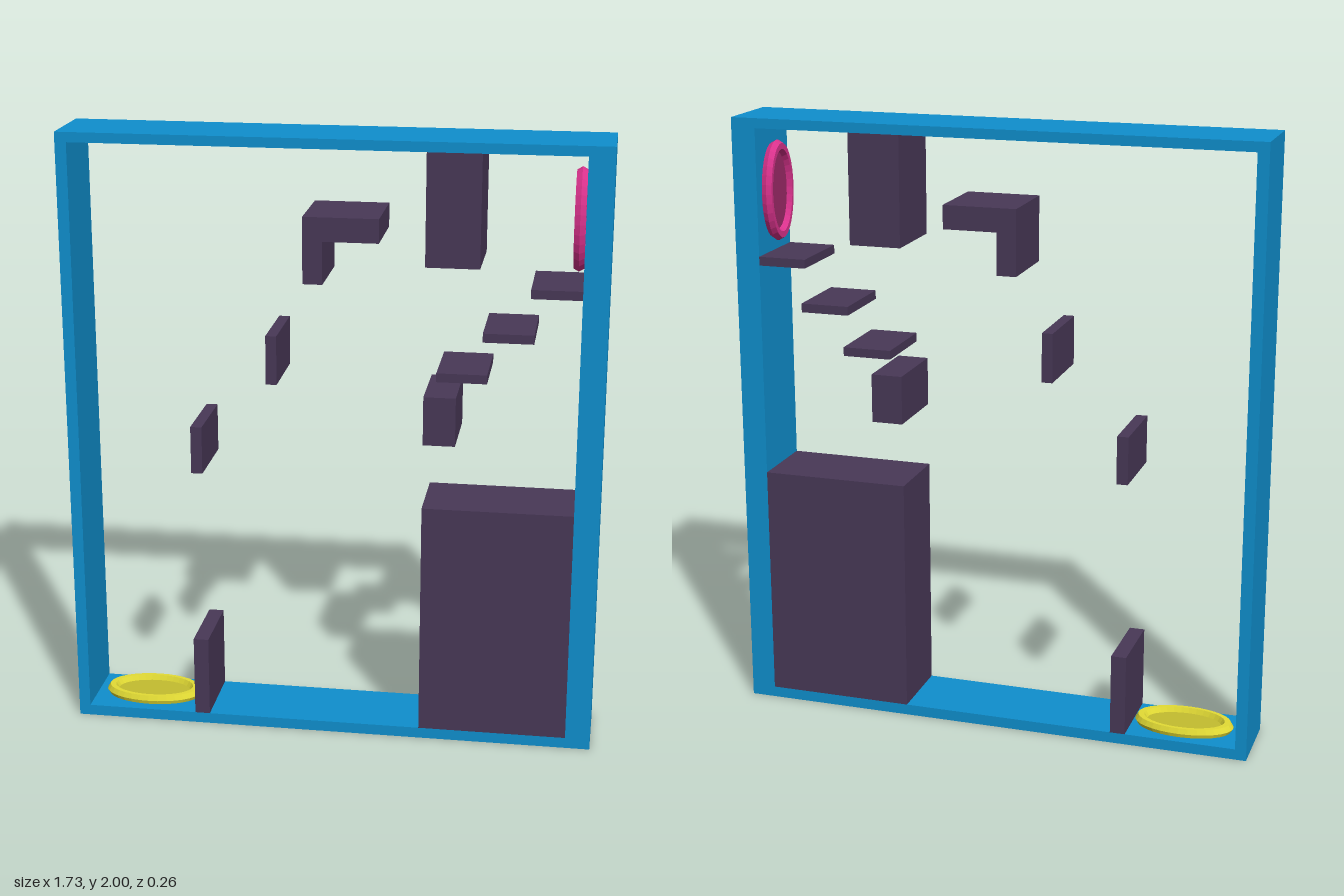
import * as THREE from 'three';

const BACK = -0.123, FRONT = 0.128, DEPTH = FRONT - BACK;
const INNER = { l: -0.83, r: 0.784, b: 0.036, t: 1.968 };

const material = (color, side = THREE.FrontSide) =>
  new THREE.MeshStandardMaterial({ color, side, flatShading: true });

const outline = (points) => points.map(([x, y]) => new THREE.Vector2(x, y));
const rectangle = (l, r, b, t) => outline([[l, b], [r, b], [r, t], [l, t]]);

// Flat shape extruded through the whole depth of the frame
function slab(name, points, mat, hole) {
  const shape = new THREE.Shape(points);
  if (hole) shape.holes.push(new THREE.Path(hole));
  const geometry = new THREE.ExtrudeGeometry(shape, { depth: DEPTH, bevelEnabled: false });
  const mesh = new THREE.Mesh(geometry, mat);
  mesh.name = name;
  mesh.position.z = BACK;
  return mesh;
}

// Oval bevelled ring with a thin panel across its middle, facing +z
function ovalPortal(name, ringColor, panelColor) {
  const portal = new THREE.Group();
  portal.name = name;
  const ring = new THREE.Mesh(new THREE.TorusGeometry(0.145, 0.02, 6, 32), material(ringColor));
  ring.name = name + 'Ring';
  const panel = new THREE.Mesh(new THREE.CircleGeometry(0.145, 32), material(panelColor, THREE.DoubleSide));
  panel.name = name + 'Panel';
  portal.add(ring, panel);
  return portal;
}

export function createModel() {
  const model = new THREE.Group();
  model.name = 'framedLevel';
  const blue = material(0x0f8fce);
  const purple = material(0x483857);

  // Outer frame, open at front and back, with a thicker wall on one side
  model.add(slab('frame', rectangle(-0.867, 0.865, 0, 2), blue,
    rectangle(INNER.l, INNER.r, INNER.b, INNER.t)));

  // Rectangular blocks: left, right, bottom, top
  const blocks = {
    largeBlock: [0.297, INNER.r, INNER.b, 0.817],
    hangingBlock: [0.297, 0.467, 1.61, INNER.t],
    smallBlock: [0.297, 0.4, 1.03, 1.19],
    floorPost: [-0.463, -0.413, INNER.b, 0.307],
    lowerPanel: [-0.457, -0.42, 0.897, 1.055],
    upperPanel: [-0.207, -0.172, 1.21, 1.37],
    lowStep: [0.337, 0.497, 1.243, 1.272],
    middleStep: [0.48, 0.64, 1.378, 1.407],
    highStep: [0.625, INNER.r, 1.523, 1.552],
  };
  for (const [name, box] of Object.entries(blocks)) {
    model.add(slab(name, rectangle(...box), purple));
  }
  // The small block stands slightly proud of the back
  model.getObjectByName('smallBlock').position.z -= 0.005;

  // L-shaped ledge
  model.add(slab('cornerLedge', outline([
    [-0.087, 1.543], [-0.024, 1.543], [-0.024, 1.68],
    [0.153, 1.68], [0.153, 1.757], [-0.087, 1.757],
  ]), purple));

  // Oval portal lying on the floor
  const floorPortal = ovalPortal('floorPortal', 0xe3dc35, 0xc4bd30);
  floorPortal.rotation.x = -Math.PI / 2;
  floorPortal.scale.y = 0.57;
  floorPortal.position.set(-0.635, 0.049, 0);

  // Oval portal upright on the side wall, facing inwards
  const wallPortal = ovalPortal('wallPortal', 0xd9328c, 0xa02a6a);
  wallPortal.rotation.y = -Math.PI / 2;
  wallPortal.scale.x = 0.57;
  wallPortal.position.set(0.765, 1.75, 0);

  model.add(floorPortal, wallPortal);
  return model;
}
